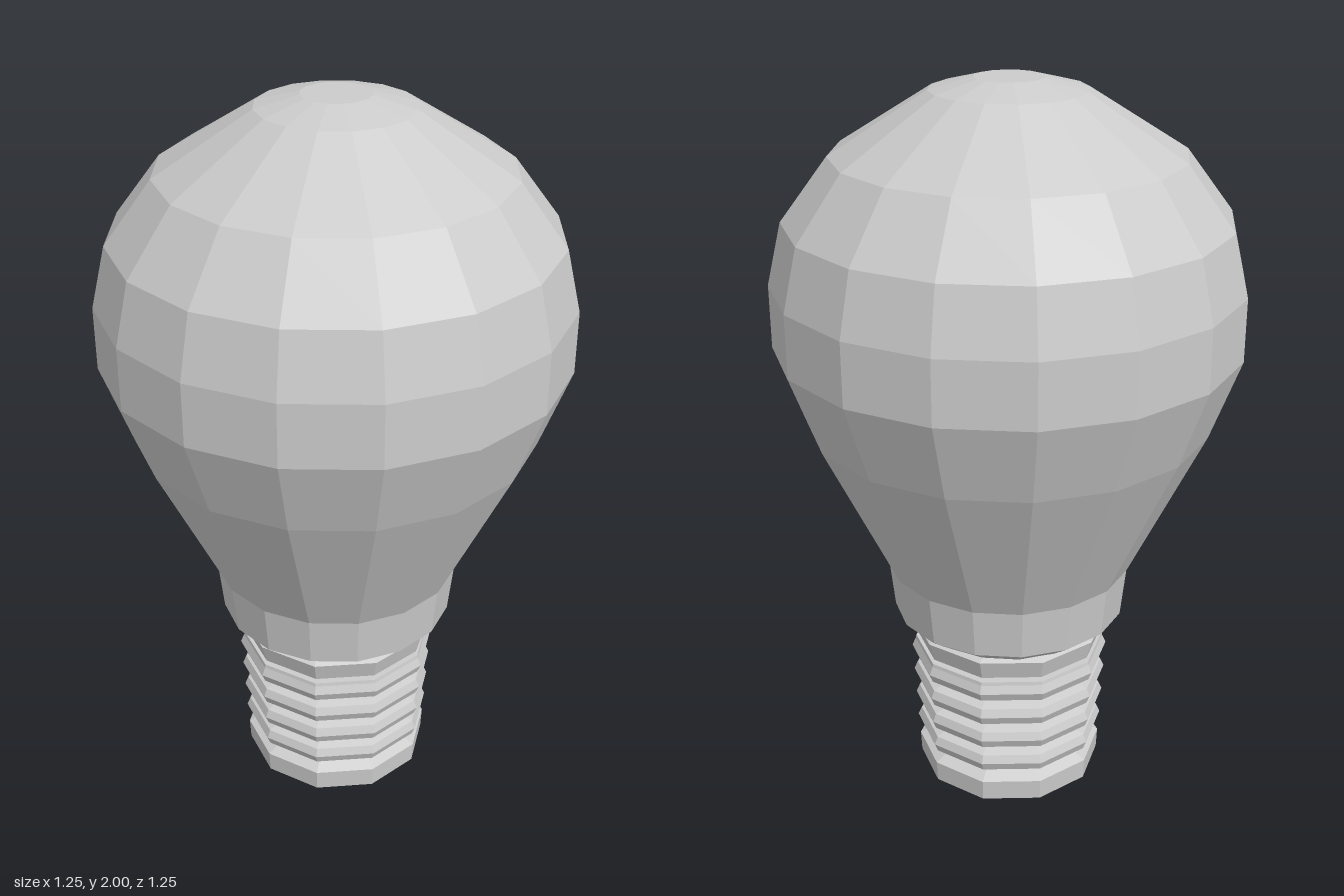
import * as THREE from 'three';

const material = new THREE.MeshStandardMaterial({ color: 0xcccccc, flatShading: true, side: THREE.DoubleSide });

// Faceted turned part; the profile runs from bottom to top as [radius, height]
function turned(name, profile, sides) {
  const points = profile.map(([r, y]) => new THREE.Vector2(r, y));
  const mesh = new THREE.Mesh(new THREE.LatheGeometry(points, sides), material);
  mesh.name = name;
  return mesh;
}

export function createModel() {
  const group = new THREE.Group();
  group.name = 'lightBulb';

  // Glass bulb: flared neck, round body and flattened crown
  group.add(turned('glassBulb', [
    [0.25, 0.465], [0.325, 0.52], [0.34, 0.66], [0.545, 1.09], [0.625, 1.31],
    [0.625, 1.48], [0.585, 1.645], [0.46, 1.81], [0.205, 1.97], [0.09, 2], [0, 2],
  ], 16));

  // Collar between the glass and the screw base
  group.add(turned('collar', [
    [0, 0.41], [0.265, 0.41], [0.28, 0.465], [0.25, 0.48], [0, 0.48],
  ], 10));

  // Screw base: recessed underside, plain foot and four thread ridges
  const base = [[0, 0.055], [0.11, 0.05], [0.262, 0], [0.265, 0.06]];
  for (let i = 0; i < 4; i++) {
    const y = 0.08 + i * 0.08;
    const r = 0.27 + i * 0.004;
    base.push([0.225, y], [r - 0.01, y + 0.02], [r, y + 0.045], [r - 0.01, y + 0.068]);
  }
  base.push([0.27, 0.398], [0, 0.398]);
  group.add(turned('screwBase', base, 10));

  return group;
}
